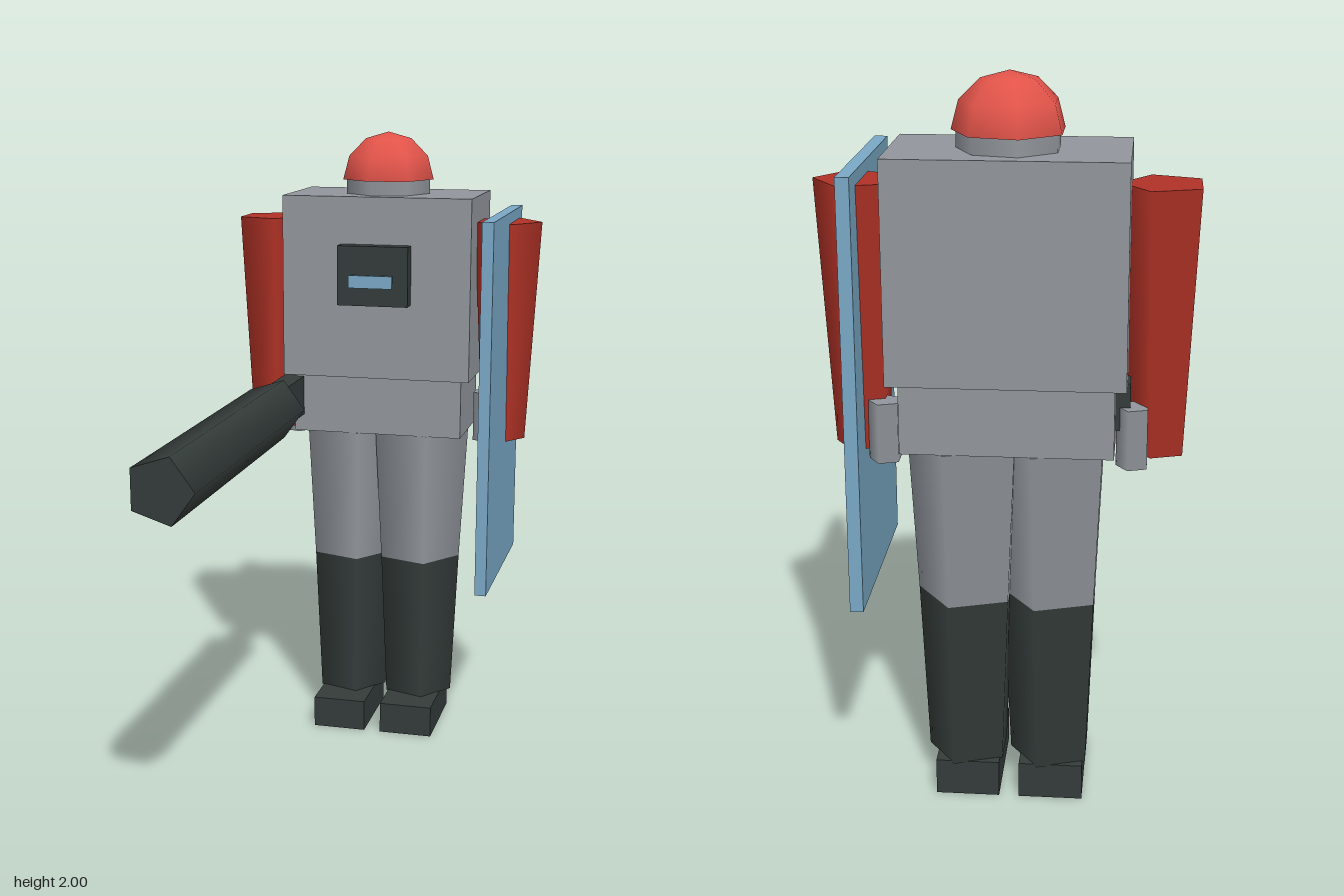
import * as THREE from 'three';

const mat = (name, color) => {
  const m = new THREE.MeshStandardMaterial({ color });
  m.name = name;
  return m;
};

export function createModel() {
  const model = new THREE.Group();
  model.name = 'armouredGuard';
  const grey = mat('armourGrey', 0x92979d);
  const dark = mat('darkGrey', 0x343c3a);
  const blue = mat('shieldBlue', 0x7aa9c7);
  const sleeveRed = mat('sleeveRed', 0xb03226);
  const helmetRed = mat('helmetRed', 0xe2544a);
  const midX = -0.0125, midZ = -0.625;

  const add = (name, geometry, material, x = 0, y = 0, z = 0) => {
    const mesh = new THREE.Mesh(geometry, material);
    mesh.name = name;
    mesh.position.set(x, y, z);
    model.add(mesh);
    return mesh;
  };
  // Box given by its extents on each axis
  const box = (name, material, [x0, x1], [y0, y1], [z0, z1]) =>
    add(name, new THREE.BoxGeometry(x1 - x0, y1 - y0, z1 - z0), material,
      (x0 + x1) / 2, (y0 + y1) / 2, (z0 + z1) / 2);
  // Upright prism with a corner pointing to +x
  const post = (name, material, sides, rTop, rBottom, x, y0, y1, z) =>
    add(name, new THREE.CylinderGeometry(rTop, rBottom, y1 - y0, sides).rotateY(Math.PI / 2),
      material, x, (y0 + y1) / 2, z);

  // Torso
  box('chest', grey, [-0.32, 0.295], [1.222, 1.805], [-0.802, -0.445]);
  box('waist', grey, [-0.29, 0.265], [1.03, 1.222], [-0.772, -0.475]);
  box('chestPack', dark, [-0.127, 0.103], [1.465, 1.655], [-0.445, -0.394]);
  box('chestDisplay', blue, [-0.083, 0.057], [1.525, 1.565], [-0.38, -0.368]);

  // Head
  post('neck', grey, 7, 0.138, 0.138, midX, 1.805, 1.85, midZ);
  add('helmet', new THREE.SphereGeometry(0.15, 7, 3, 0, Math.PI * 2, 0, Math.PI / 2).rotateY(Math.PI),
    helmetRed, midX, 1.85, midZ);

  // Limbs, one pass per side
  for (const [side, s] of [['left', 1], ['right', -1]]) {
    const legX = midX + s * 0.115;
    post(side + 'Thigh', grey, 5, 0.163, 0.139, legX, 0.588, 1.03, midZ);
    post(side + 'Shin', dark, 5, 0.139, 0.117, legX, 0.1, 0.588, midZ);
    box(side + 'Boot', dark, [legX - 0.0875, legX + 0.0875], [0, 0.103], [-0.725, -0.423]);
    post(side + 'Arm', sleeveRed, 5, 0.114, 0.075, midX + s * 0.392, 1.01, 1.722, -0.627);
    post(side + 'Hand', grey, 5, 0.045, 0.045, midX + s * 0.325, 0.985, 1.148, -0.687);
  }

  // Shield on the left arm
  box('shield', blue, [0.367, 0.403], [0.588, 1.758], [-0.8, -0.212]);

  // Heavy weapon on the right side
  box('weaponStock', dark, [-0.328, -0.26], [1.085, 1.213], [-0.7, -0.25]);
  add('weaponBarrel',
    new THREE.CylinderGeometry(0.0985, 0.0985, 1.05, 5).rotateY(Math.PI / 2).rotateX(Math.PI / 2),
    dark, -0.294, 1.149, 0.277);

  return model;
}
